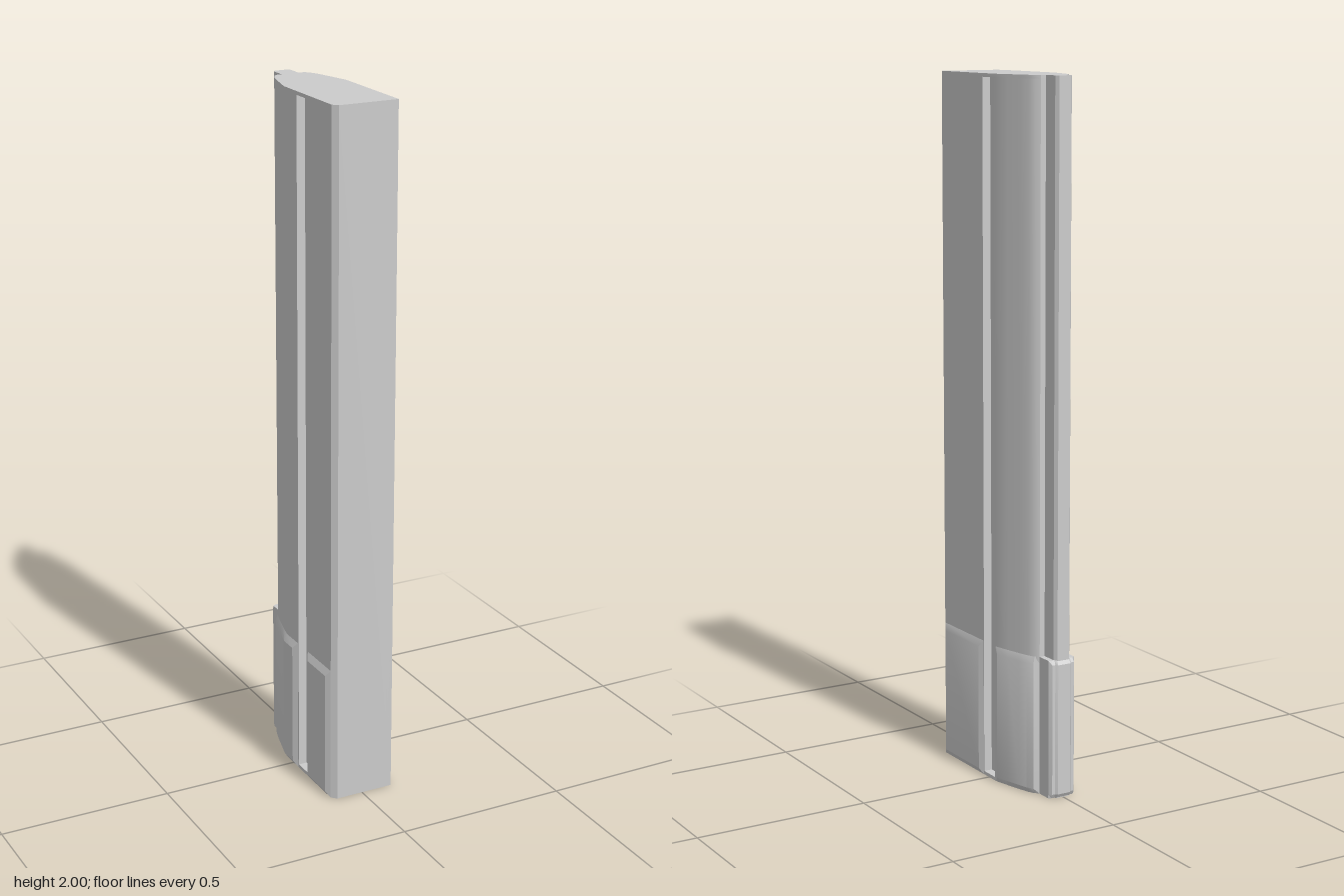
import * as THREE from 'three';
import { toCreasedNormals } from 'three/addons/utils/BufferGeometryUtils.js';

const material = new THREE.MeshStandardMaterial({ color: 0xcccccc });

// Skin a stack of equal-length [x, z] outlines at the given heights, with both ends closed
function loft(name, sections) {
  const outline = sections[0].pts.length;
  const flat = sections.map(({ y, pts }) => pts.map(([x, z]) => new THREE.Vector3(x, y, z)));
  const widest = sections[Math.min(1, sections.length - 1)].pts.map(([x, z]) => new THREE.Vector2(x, z));
  const clockwise = THREE.ShapeUtils.area(widest) < 0;
  if (clockwise) { flat.forEach((r) => r.reverse()); widest.reverse(); }
  const out = [];
  const tri = (a, b, c) => {
    const area = b.clone().sub(a).cross(c.clone().sub(a)).length();
    if (area > 1e-9) out.push(...a.toArray(), ...b.toArray(), ...c.toArray());
  };
  for (let s = 0; s < flat.length - 1; s++) {
    for (let i = 0; i < outline; i++) {
      const j = (i + 1) % outline;
      const [a, b, c, d] = [flat[s][i], flat[s][j], flat[s + 1][j], flat[s + 1][i]];
      tri(a, c, b);
      tri(a, d, c);
    }
  }
  const top = flat[flat.length - 1];
  for (const [i, j, k] of THREE.ShapeUtils.triangulateShape(widest, [])) {
    tri(flat[0][i], flat[0][j], flat[0][k]);
    tri(top[i], top[k], top[j]);
  }
  const geometry = new THREE.BufferGeometry();
  geometry.setAttribute('position', new THREE.Float32BufferAttribute(out, 3));
  const mesh = new THREE.Mesh(toCreasedNormals(geometry, 0.4), material);
  mesh.name = name;
  return mesh;
}

const prism = (name, pts, y0, y1) => loft(name, [{ y: y0, pts }, { y: y1, pts }]);

// Raised pad: rises from the wall points to the outer points, bevelled at top and bottom
function pad(name, wall, outer) {
  const root = wall.map(([x, z]) => [x * 0.8, z]).reverse();
  const low = [...wall, ...root];
  const high = [...outer, ...root];
  return loft(name, [
    { y: 0, pts: low }, { y: 0.015, pts: high }, { y: 0.38, pts: high }, { y: 0.4, pts: low },
  ]);
}

const mirrored = (half) => [...half, ...half.map(([x, z]) => [-x, z]).reverse()];

export function createModel() {
  const model = new THREE.Group();
  const W = 0.094;
  const taper = [[W, -0.04], [0.083, -0.086], [0.071, -0.132], [0.062, -0.162], [0.053, -0.18], [0.042, -0.19]];

  // Body outline, with one channel in each side at different depths
  const depth = 0.025;
  const channel = (s, z0, z1) => [[s * W, z0], [s * (W - depth), z0], [s * (W - depth), z1], [s * W, z1]];
  const back = mirrored(taper);
  const front = [[-W, 0.235], [-0.08, 0.25], [W, 0.25]];
  const plain = [...back, ...front];
  const grooved = [
    ...back, ...channel(-1, 0.035, 0.092), ...front, ...channel(1, 0.027, -0.032),
  ];
  model.add(
    prism('bodyBase', plain, 0, 0.01),
    prism('body', grooved, 0.01, 1.99),
    prism('bodyTop', plain, 1.99, 2),
  );

  // Rail along the back, with a thicker sleeve at the bottom
  model.add(prism('backRail', mirrored([[0.026, -0.18], [0.026, -0.236], [0.019, -0.246]]), 0, 2));
  const sleeve = mirrored([[0.042, -0.18], [0.042, -0.237], [0.035, -0.246], [0.026, -0.246], [0.02, -0.252]]);
  const sleeveEnd = mirrored([[0.042, -0.18], [0.042, -0.235], [0.034, -0.24], [0.025, -0.24], [0.019, -0.245]]);
  model.add(loft('railSleeve', [
    { y: 0, pts: sleeveEnd }, { y: 0.012, pts: sleeve }, { y: 0.388, pts: sleeve }, { y: 0.4, pts: sleeveEnd },
  ]));

  // Grip pads around the foot
  model.add(
    pad('rightFrontPad', [[W, 0.25], [W, 0.25], [W, 0.029], [W, 0.029]],
      [[W, 0.25], [0.102, 0.235], [0.102, 0.045], [W, 0.029]]),
    pad('leftFrontPad', [[-W, 0.235], [-W, 0.235], [-W, 0.094], [-W, 0.094]],
      [[-W, 0.235], [-0.104, 0.22], [-0.104, 0.11], [-W, 0.094]]),
    pad('rightBackPad', [[W, -0.036], ...taper],
      [[W, -0.036], [0.098, -0.052], [0.088, -0.092], [0.077, -0.135], [0.069, -0.163], [0.058, -0.183], [0.042, -0.19]]),
    pad('leftBackPad', [[-W, 0.03], [-W, 0.03], ...taper.map(([x, z]) => [-x, z])],
      [[-W, 0.03], [-0.104, 0.014], [-0.104, -0.038], [-0.091, -0.086], [-0.078, -0.134], [-0.069, -0.163], [-0.06, -0.183], [-0.042, -0.19]]),
  );
  return model;
}
